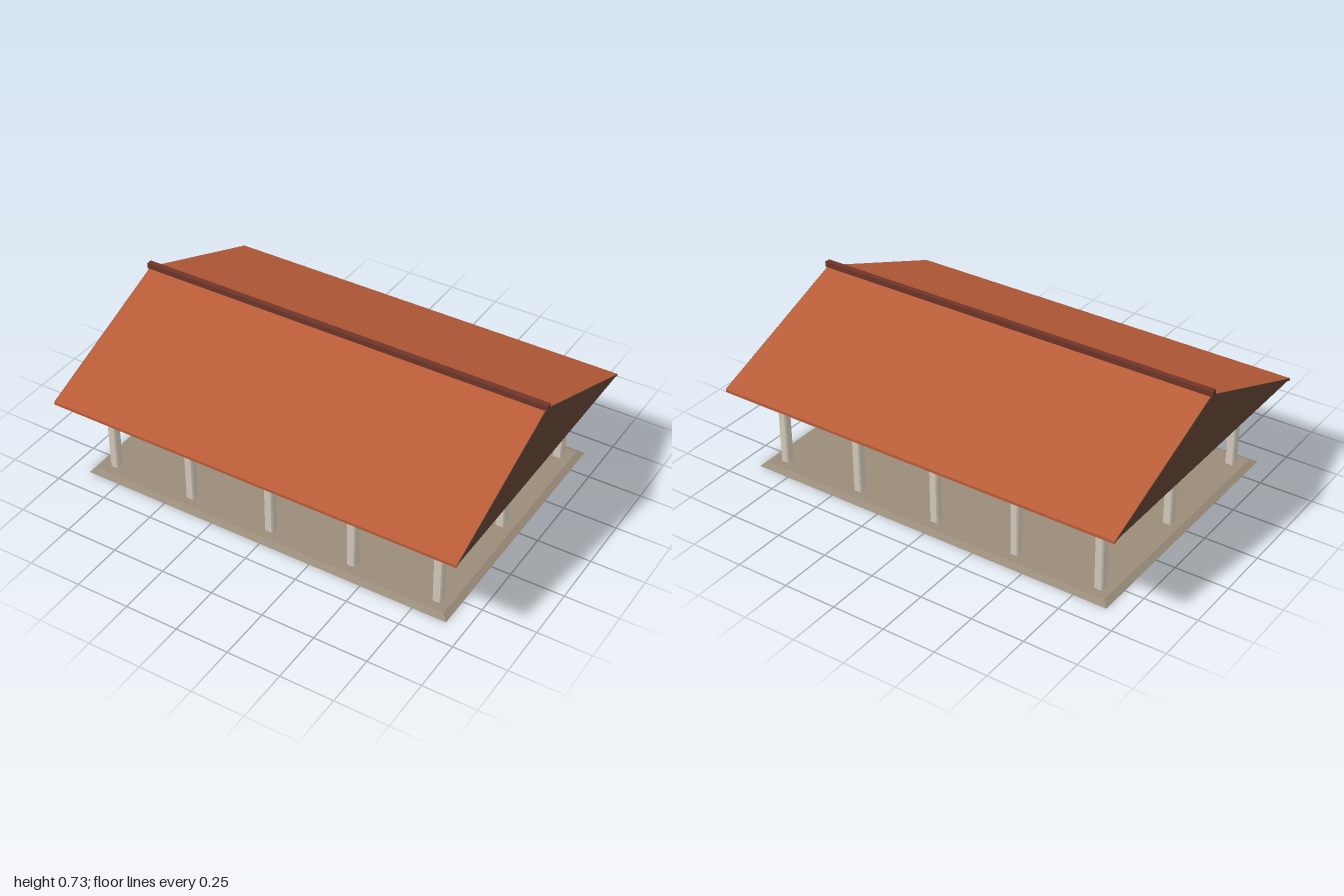
import * as THREE from 'three';

const material = (name, color) => {
  const m = new THREE.MeshStandardMaterial({ color });
  m.name = name;
  return m;
};

// Extrudes a closed outline along its depth, centred on it
function prism(points, depth) {
  const shape = new THREE.Shape(points.map(([x, y]) => new THREE.Vector2(x, y)));
  return new THREE.ExtrudeGeometry(shape, { depth, bevelEnabled: false }).translate(0, 0, -depth / 2);
}

export function createModel() {
  const terracotta = material('terracotta', 0xb85c38);
  const darkWood = material('dark wood', 0x5c4033);
  const redBrown = material('red brown', 0x6e3528);
  const paleStone = material('pale stone', 0xd4cabb);
  const floorStone = material('floor stone', 0x9a8c7a);

  const model = new THREE.Group();
  model.name = 'pavilion';
  const add = (name, geometry, mat, x = 0, y = 0, z = 0) => {
    const mesh = new THREE.Mesh(geometry, mat);
    mesh.name = name;
    mesh.position.set(x, y, z);
    model.add(mesh);
    return mesh;
  };

  // Floor slab with sloping edges
  const floor = new THREE.BoxGeometry(1.82, 0.016, 1.285).translate(0, 0.008, 0);
  const p = floor.attributes.position;
  for (let i = 0; i < p.count; i++) {
    if (p.getY(i) > 0.01) {
      p.setX(i, p.getX(i) - Math.sign(p.getX(i)) * 0.028);
      p.setZ(i, p.getZ(i) - Math.sign(p.getZ(i)) * 0.028);
    }
  }
  floor.computeVertexNormals();
  add('floor', floor, floorStone);

  // Grid of square columns with chamfered corners
  const h = 0.021, c = 0.015;
  const columnGeometry = prism(
    [[h, -c], [h, c], [c, h], [-c, h], [-h, c], [-h, -c], [-c, -h], [c, -h]], 0.403
  ).rotateX(-Math.PI / 2);
  for (let i = -2; i <= 2; i++) {
    for (let j = -1; j <= 1; j++) {
      add('column', columnGeometry, paleStone, i * 0.4125, 0.2035, j * 0.551);
    }
  }

  // Ceiling slab resting on the columns
  add('ceiling', new THREE.BoxGeometry(1.72, 0.018, 1.17), redBrown, 0, 0.412, 0);

  // Two-sided sloping roof, hollow underneath
  const roof = prism(
    [[-0.733, 0.407], [0, 0.697], [0.733, 0.407], [0.733, 0.42], [0, 0.71], [-0.733, 0.42]], 1.98
  ).rotateY(Math.PI / 2);
  add('roof', roof, terracotta);

  // Gable panels closing both ends
  const gable = prism([[-0.731, 0.42], [0.731, 0.42], [0, 0.709]], 0.008).rotateY(Math.PI / 2);
  for (const side of [-1, 1]) add('gable', gable, darkWood, side * 0.988, 0, 0);

  // Ridge cap
  add('ridge', new THREE.BoxGeometry(2, 0.026, 0.027), redBrown, 0, 0.718, 0);

  return model;
}
